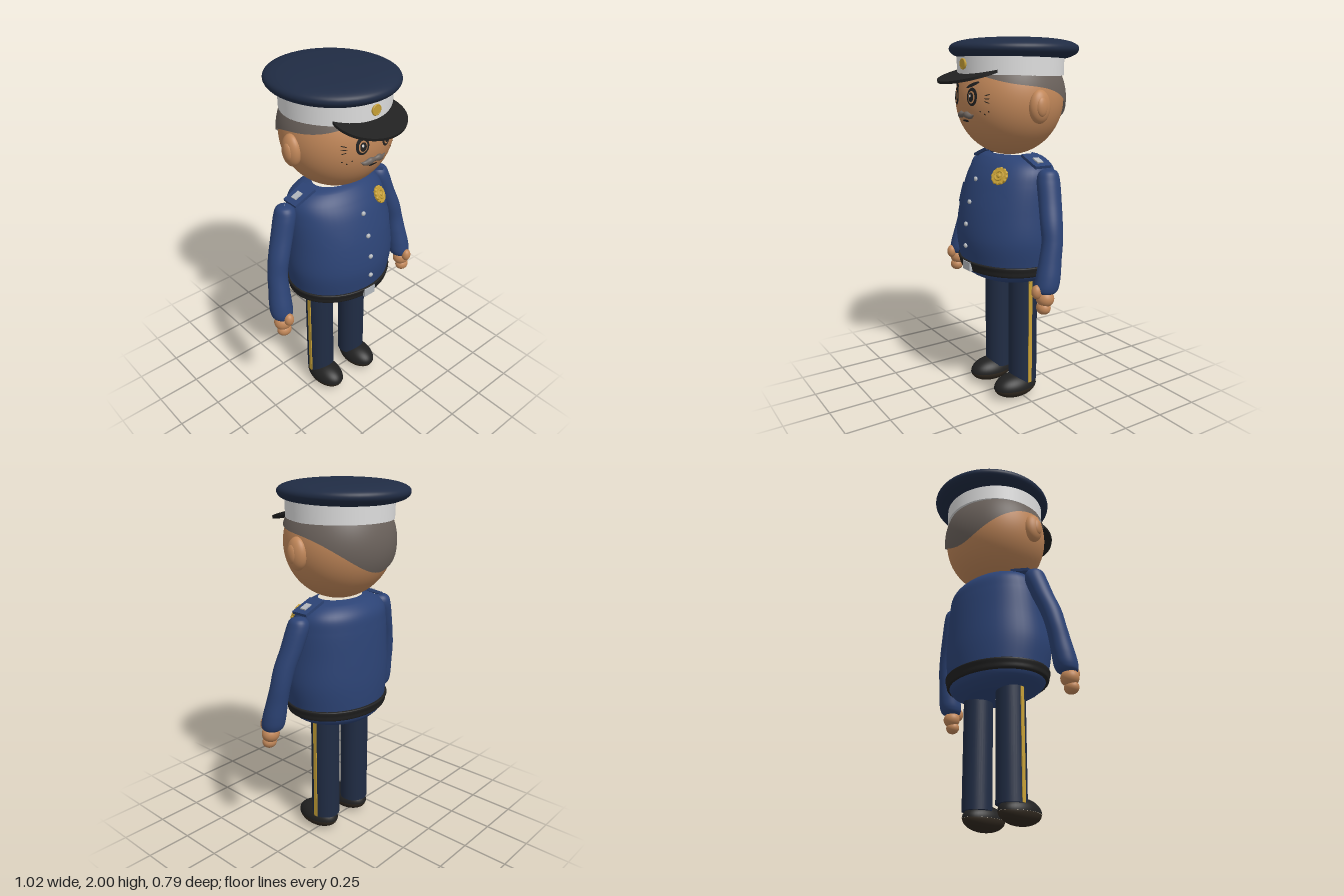
import * as THREE from 'three';
import { ParametricGeometry } from 'three/addons/geometries/ParametricGeometry.js';

const paint = (name, color, side = THREE.FrontSide) => {
  const m = new THREE.MeshStandardMaterial({ color, side });
  m.name = name;
  return m;
};

// smooth interpolation through rows of numbers, v from 0 to 1
function sample(rows, v) {
  const n = rows.length - 1, s = Math.min(Math.max(v, 0), 1) * n;
  const i = Math.min(Math.floor(s), n - 1), t = s - i;
  const a = rows[Math.max(i - 1, 0)], b = rows[i], c = rows[i + 1], d = rows[Math.min(i + 2, n)];
  return b.map((_, k) => 0.5 * (2 * b[k] + (c[k] - a[k]) * t
    + (2 * a[k] - 5 * b[k] + 4 * c[k] - d[k]) * t * t
    + (3 * b[k] - a[k] - 3 * c[k] + d[k]) * t * t * t));
}

// solid through horizontal ellipses [centre x, y, centre z, radius x, radius z], bottom to top
const loft = (rows, steps = 40) => new ParametricGeometry((u, v, p) => {
  const [x, y, z, rx, rz] = sample(rows, v), a = u * Math.PI * 2;
  p.set(x + rx * Math.cos(a), y, z - rz * Math.sin(a));
}, 48, steps);

// torso rows: y, half width, front z, back z
const torsoRows = [
  [0.685, 0.002, -0.01, -0.014], [0.69, 0.15, 0.12, -0.15], [0.72, 0.25, 0.2, -0.21],
  [0.76, 0.29, 0.24, -0.235], [0.83, 0.307, 0.258, -0.245], [0.95, 0.322, 0.27, -0.25],
  [1.1, 0.312, 0.25, -0.245], [1.24, 0.3, 0.208, -0.235], [1.32, 0.28, 0.165, -0.22],
  [1.37, 0.22, 0.12, -0.175], [1.39, 0.14, 0.08, -0.12],
].map(([y, rx, f, b]) => [0, y, (f + b) / 2, rx, (f - b) / 2]);

// front surface z at (x, y)
function torsoZ(x, y) {
  let lo = 0, hi = 1;
  for (let i = 0; i < 24; i++) {
    const m = (lo + hi) / 2;
    if (sample(torsoRows, m)[1] < y) lo = m; else hi = m;
  }
  const [, , z, rx, rz] = sample(torsoRows, lo);
  return z + rz * Math.sqrt(Math.max(0, 1 - (x / rx) ** 2));
}
const HEAD = { y: 1.68, z: -0.01, rx: 0.3, ry: 0.3, rz: 0.285 };
const headZ = (x, y) => HEAD.z + HEAD.rz
  * Math.sqrt(Math.max(0, 1 - (x / HEAD.rx) ** 2 - ((y - HEAD.y) / HEAD.ry) ** 2));

// thin oval that follows a surface
function patch(surf, x, y, rx, ry, rot = 0, lift = 0.004) {
  const g = new THREE.RingGeometry(0, 1, 32, 4).scale(rx, ry, 1).rotateZ(rot).translate(x, y, 0);
  const p = g.attributes.position;
  for (let i = 0; i < p.count; i++) p.setZ(i, surf(p.getX(i), p.getY(i)) + lift);
  g.computeVertexNormals();
  return g;
}

// set an object on a surface, its z axis along the normal
function seat(obj, surf, x, y) {
  const e = 0.01, z = surf(x, y);
  obj.position.set(x, y, z);
  obj.lookAt(x - (surf(x + e, y) - surf(x - e, y)) / (2 * e),
    y - (surf(x, y + e) - surf(x, y - e)) / (2 * e), z + 1);
  return obj;
}

export function createModel() {
  const root = new THREE.Group();
  root.name = 'officer';
  const navy = paint('navy', 0x202c44), blue = paint('jacket blue', 0x2c4375);
  const black = paint('black', 0x212121), white = paint('white', 0xdedede);
  const gold = paint('gold', 0xc7a036), skin = paint('skin', 0xc18759);
  const hairGrey = paint('hair grey', 0x6b625c, THREE.DoubleSide);
  const silver = paint('silver', 0xb4b8bd), brown = paint('dark brown', 0x30281f);

  const add = (name, geo, mat, x = 0, y = 0, z = 0, parent = root) => {
    const m = new THREE.Mesh(geo, mat);
    m.name = name;
    m.position.set(x, y, z);
    parent.add(m);
    return m;
  };
  const ball = (rx, ry, rz) => new THREE.SphereGeometry(1, 36, 24).scale(rx, ry, rz);
  const disc = (r, d, sides = 32) => new THREE.CylinderGeometry(r, r, d, sides).rotateX(Math.PI / 2);

  // head and hair
  add('head', new THREE.SphereGeometry(1, 64, 48).scale(HEAD.rx, HEAD.ry, HEAD.rz), skin, 0, HEAD.y, HEAD.z);
  add('hair', new ParametricGeometry((u, v, p) => {
    const a = u * Math.PI * 2, f = -Math.sin(a);
    const low = 1.745 + 0.048 * f - 0.06 * f * f + 0.087 * f ** 3;
    const y = low + (1.88 - low) * v, r = Math.sqrt(1 - ((y - HEAD.y) / 0.31) ** 2);
    p.set(0.308 * r * Math.cos(a), y, HEAD.z + 0.302 * r * f);
  }, 64, 16), hairGrey);

  // moustache, lofted sideways, and mouth
  const whisker = [[-0.08, 1.606, 0.002], [-0.06, 1.597, 0.011], [-0.03, 1.604, 0.018], [0, 1.605, 0.011],
    [0.03, 1.604, 0.018], [0.06, 1.597, 0.011], [0.08, 1.606, 0.002]];
  add('moustache', loft(whisker.map(([x, y, r]) => [-y, x, headZ(x, y) + 0.004, r, r * 0.9]))
    .rotateZ(-Math.PI / 2), hairGrey);
  add('mouth', patch(headZ, 0, 1.572, 0.03, 0.006), black);

  for (const s of [1, -1]) {
    // face
    add('ear', ball(0.042, 0.085, 0.06), skin, s * 0.297, 1.65, 0.002);
    add('innerEar', ball(0.02, 0.05, 0.032), skin, s * 0.325, 1.65, 0.008);
    add('eyeOutline', patch(headZ, s * 0.078, 1.697, 0.035, 0.046), black);
    add('eyeRim', patch(headZ, s * 0.078, 1.695, 0.023, 0.031, 0, 0.007), skin);
    add('pupil', patch(headZ, s * 0.078, 1.695, 0.017, 0.024, 0, 0.009), black);
    add('eyeGlint', patch(headZ, s * 0.078 - 0.004, 1.702, 0.006, 0.008, 0, 0.011), white);
    add('eyebrow', patch(headZ, s * 0.078, 1.757, 0.042, 0.009, s * 0.35, 0.008), black);
    for (const k of [-1, 0, 1]) {
      add('eyeCrease', patch(headZ, s * 0.165, 1.69 + k * 0.018, 0.014, 0.0025, s * k * 0.35), brown);
      add('freckle', patch(headZ, s * (0.148 + k * 0.022), 1.618 + (k ? 0.008 : -0.006), 0.004, 0.004), brown);
    }

    // arm and hand
    const arm = [[0.455, 0.722, 0.062, 0.003], [0.453, 0.727, 0.06, 0.045], [0.45, 0.755, 0.055, 0.06],
      [0.447, 0.81, 0.044, 0.061], [0.44, 0.89, 0.028, 0.056], [0.43, 0.98, 0.01, 0.053],
      [0.408, 1.07, 0, 0.056], [0.368, 1.18, -0.018, 0.058], [0.336, 1.28, -0.03, 0.058],
      [0.332, 1.325, -0.033, 0.042], [0.332, 1.338, -0.033, 0.003]];
    add('sleeve', loft(arm.map(([x, y, z, r]) => [s * x, y, z, r, r * 1.05])), blue);
    add('palm', ball(0.05, 0.046, 0.046), skin, s * 0.456, 0.697, 0.07);
    add('fingers', ball(0.041, 0.035, 0.036), skin, s * 0.457, 0.648, 0.08);
    add('thumb', ball(0.027, 0.037, 0.027), skin, s * 0.45, 0.737, 0.118);

    // epaulette with insignia
    const strap = new THREE.Group();
    strap.name = 'epaulette';
    strap.position.set(s * 0.244, 1.369, -0.017);
    strap.rotation.z = -s * 0.36;
    root.add(strap);
    add('epauletteBase', new THREE.BoxGeometry(0.14, 0.016, 0.098), blue, 0, 0, 0, strap);
    add('insignia', new THREE.BoxGeometry(0.05, 0.008, 0.036), silver, s * 0.015, 0.011, 0, strap);

    // breast pocket
    add('pocket', patch(torsoZ, s * 0.165, 1.165, 0.074, 0.054, 0, 0.007), blue);

    // leg, stripe and shoe
    add('trouserLeg', new THREE.CylinderGeometry(0.08, 0.08, 0.64, 40), navy, s * 0.125, 0.42, -0.02);
    add('trouserStripe', new THREE.BoxGeometry(0.008, 0.6, 0.022), gold, s * 0.205, 0.4, -0.016);
    const half = (start) => new THREE.SphereGeometry(1, 40, 16, 0, Math.PI * 2, start, Math.PI / 2);
    add('shoeUpper', half(0).scale(0.085, 0.076, 0.133), black, s * 0.13, 0.064, 0.033);
    add('shoeSole', half(Math.PI / 2).scale(0.083, 0.062, 0.131), brown, s * 0.13, 0.064, 0.033);
  }

  // jacket
  add('jacket', loft(torsoRows, 60), blue);
  for (const y of [1.26, 1.14, 1.02, 0.9]) add('button', ball(0.013, 0.013, 0.01), silver, 0, y, torsoZ(0, y) + 0.004);

  // belt and buckle
  const belt = [[0.758, 0.27, 0.22], [0.759, 0.302, 0.247], [0.785, 0.309, 0.255], [0.812, 0.312, 0.261], [0.813, 0.28, 0.23]];
  add('belt', loft(belt.map(([y, rx, rz]) => [0, y, 0.004, rx, rz])), black);
  add('buckle', new THREE.BoxGeometry(0.075, 0.048, 0.016), silver, 0, 0.786, 0.262);

  // badge
  const badge = seat(new THREE.Group(), torsoZ, 0.16, 1.29);
  badge.name = 'badge';
  root.add(badge);
  add('badgePlate', disc(0.044, 0.018), gold, 0, 0, 0.006, badge);
  for (let i = 0; i < 12; i++) {
    const a = i * Math.PI / 6;
    add('badgeScallop', ball(0.01, 0.01, 0.008), gold, 0.04 * Math.cos(a), 0.04 * Math.sin(a), 0.008, badge);
  }
  add('badgeRing', new THREE.TorusGeometry(0.024, 0.005, 10, 32), gold, 0, 0, 0.015, badge);
  add('badgeCentre', ball(0.012, 0.012, 0.008), gold, 0, 0, 0.015, badge);

  // cap
  const crown = [[1.885, 0.25], [1.893, 0.285], [1.91, 0.32], [1.935, 0.335], [1.96, 0.322],
    [1.98, 0.27], [1.993, 0.17], [2, 0.001]];
  add('capCrown', loft(crown.map(([y, r]) => [0, y, -0.041, r, r * 1.045])), navy);
  add('capBand', new THREE.CylinderGeometry(0.286, 0.284, 0.105, 64), white, 0, 1.852, -0.018);
  const visor = add('capVisor', new THREE.CylinderGeometry(1, 1, 0.014, 64).scale(0.2, 1, 0.177), black, 0, 1.815, 0.222);
  visor.rotation.x = 0.275;
  add('capEmblem', disc(0.026, 0.014, 24), gold, 0, 1.86, 0.27);
  add('capEmblemRing', new THREE.TorusGeometry(0.024, 0.005, 8, 24), gold, 0, 1.86, 0.273);

  return root;
}
